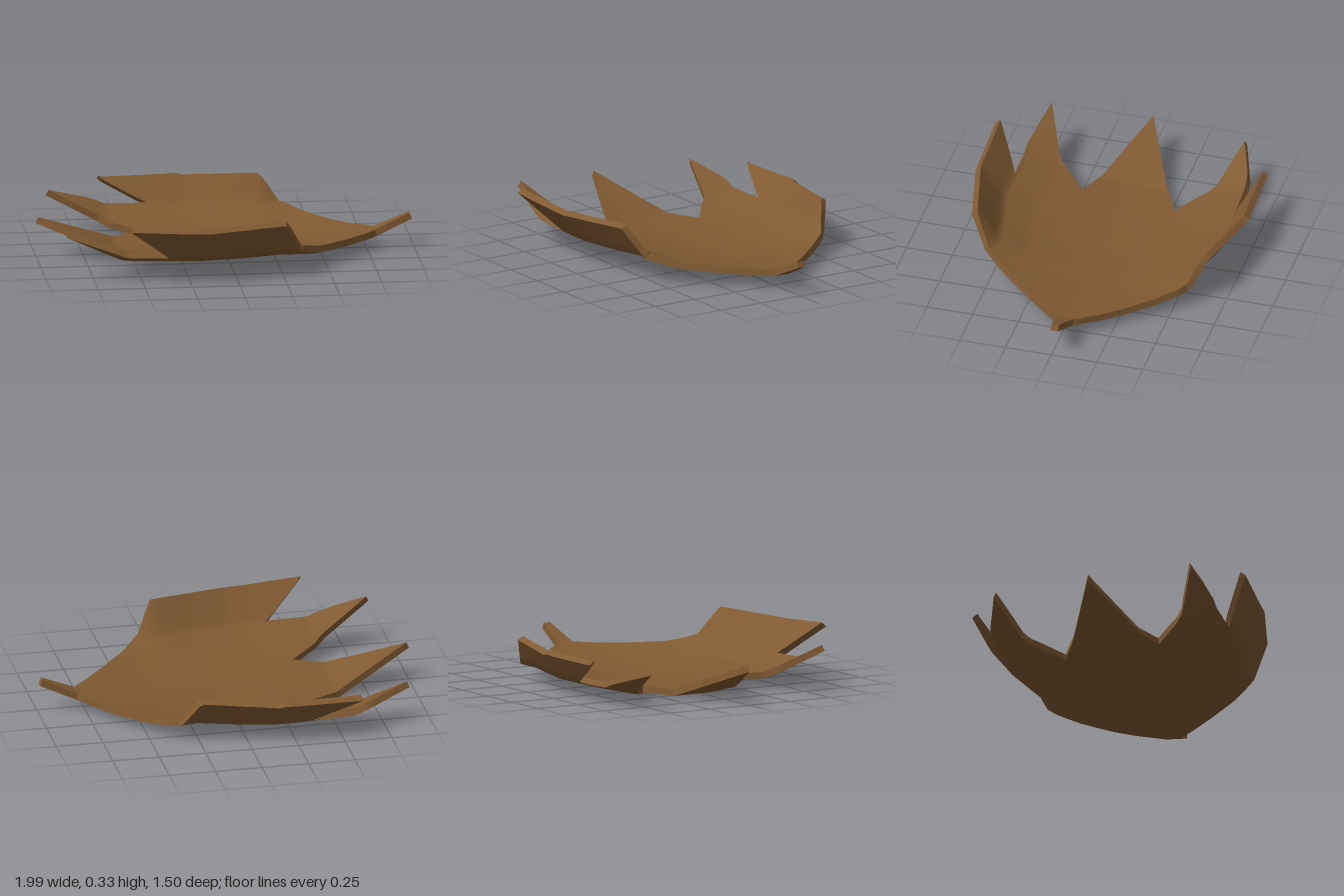
import * as THREE from 'three';

const THICKNESS = 0.035;

// Leaf outline seen from above, as x, z pairs
const OUTLINE = [
  [0.99, -0.035], [0.8, -0.06], [0.39, -0.54], [0.24, -0.66], [-0.18, -0.75],
  [-0.6, -0.735], [-0.35, -0.645], [-0.65, -0.625], [-0.89, -0.54], [-0.63, -0.46],
  [-0.4, -0.285], [-0.7, -0.14], [-1, 0], [-0.69, 0.13], [-0.425, 0.235],
  [-0.64, 0.42], [-0.895, 0.535], [-0.65, 0.59], [-0.35, 0.595], [-0.575, 0.745],
  [-0.15, 0.735], [0.26, 0.64], [0.38, 0.5], [0.8, 0.03], [0.99, 0.005],
];

// Height across the leaf, height along it, and how far the folds move inwards
const ACROSS = [[-0.75, 0.228], [-0.64, 0.085], [-0.46, 0.035], [-0.3, 0.01], [-0.2, 0.003],
  [0, 0.003], [0.1, 0.01], [0.25, 0.03], [0.42, 0.06], [0.6, 0.12], [0.75, 0.3]];
const ALONG = [[-1, 0.178], [-0.58, 0.012], [-0.25, 0], [0.05, 0], [0.4, 0.015], [0.8, 0.065], [0.99, 0.15]];
const FOLD = [[-0.15, 1], [0.26, 1.15], [0.38, 1.08], [0.8, 1]];

// Piecewise linear lookup, extended past the ends
function lookup(table, v, clamp = false) {
  if (clamp) v = Math.min(Math.max(v, table[0][0]), table[table.length - 1][0]);
  let i = 0;
  while (i < table.length - 2 && v > table[i + 1][0]) i++;
  const [a, ya] = table[i], [b, yb] = table[i + 1];
  return ya + (yb - ya) * (v - a) / (b - a);
}

const height = (x, z) => lookup(ACROSS, z * lookup(FOLD, x, true)) + lookup(ALONG, x);

function normalAt(x, z) {
  const e = 0.03;
  return new THREE.Vector3(
    (height(x - e, z) - height(x + e, z)) / (2 * e), 1,
    (height(x, z - e) - height(x, z + e)) / (2 * e)).normalize();
}

// Point on the lower (0) or upper (1) skin
function skinPoint(p, side) {
  return new THREE.Vector3(p.x, height(p.x, p.y), p.y)
    .addScaledVector(normalAt(p.x, p.y), side * THICKNESS);
}

// Split a flat triangle into four, several times over
function subdivide(a, b, c, level, out) {
  if (level === 0) { out.push([a, b, c]); return; }
  const mid = (p, q) => p.clone().add(q).multiplyScalar(0.5);
  const ab = mid(a, b), bc = mid(b, c), ca = mid(c, a);
  for (const t of [[a, ab, ca], [ab, b, bc], [ca, bc, c], [ab, bc, ca]]) subdivide(...t, level - 1, out);
}

function makeGeometry(points, normals) {
  const g = new THREE.BufferGeometry().setFromPoints(points);
  if (normals) g.setAttribute('normal', new THREE.Float32BufferAttribute(normals.flatMap(n => n.toArray()), 3));
  else g.computeVertexNormals();
  return g;
}

function skinGeometry(triangles, side) {
  const points = [], normals = [];
  for (const [a, b, c] of triangles) {
    for (const p of side ? [a, c, b] : [a, b, c]) {
      points.push(skinPoint(p, side));
      normals.push(normalAt(p.x, p.y).multiplyScalar(side ? 1 : -1));
    }
  }
  return makeGeometry(points, normals);
}

// Wall joining both skins round the outline
function rimGeometry(contour, steps) {
  const points = [];
  contour.forEach((p, i) => {
    const q = contour[(i + 1) % contour.length];
    for (let s = 0; s < steps; s++) {
      const a = p.clone().lerp(q, s / steps), b = p.clone().lerp(q, (s + 1) / steps);
      const a0 = skinPoint(a, 0), a1 = skinPoint(a, 1), b0 = skinPoint(b, 0), b1 = skinPoint(b, 1);
      points.push(a0, b1, b0, a0, a1, b1);
    }
  });
  return makeGeometry(points);
}

export function createModel() {
  const group = new THREE.Group();
  group.name = 'driedLeaf';
  const brown = new THREE.MeshStandardMaterial({ color: 0x805a32 });
  brown.name = 'leaf brown';

  const contour = OUTLINE.map(([x, z]) => new THREE.Vector2(x, z));
  if (THREE.ShapeUtils.isClockWise(contour)) contour.reverse();

  const level = 5, triangles = [];
  for (const face of THREE.ShapeUtils.triangulateShape(contour, [])) {
    let [a, b, c] = face.map(i => contour[i]);
    if (b.clone().sub(a).cross(c.clone().sub(a)) < 0) [b, c] = [c, b];
    subdivide(a, b, c, level, triangles);
  }

  const add = (name, geometry) => {
    const mesh = new THREE.Mesh(geometry, brown);
    mesh.name = name;
    group.add(mesh);
  };
  add('leafUpperSide', skinGeometry(triangles, 1));
  add('leafUnderside', skinGeometry(triangles, 0));
  add('leafRim', rimGeometry(contour, 2 ** level));
  return group;
}
